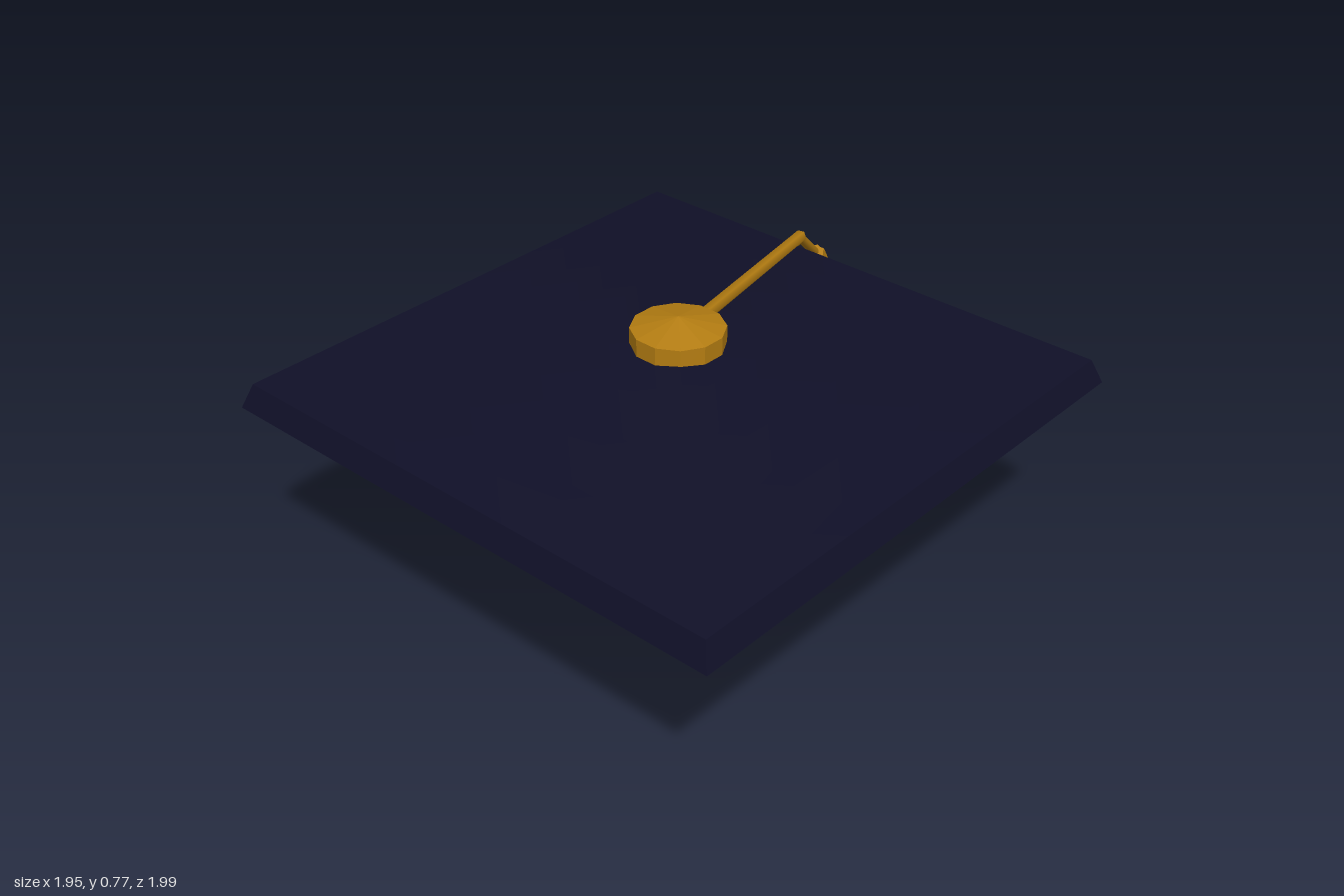
import * as THREE from 'three';

const flat = (geometry) => {
  const g = geometry.toNonIndexed();
  g.computeVertexNormals();
  return g;
};

// Apply a rule to every vertex of a geometry
function reshape(geometry, rule) {
  const p = geometry.attributes.position;
  const v = new THREE.Vector3();
  for (let i = 0; i < p.count; i++) {
    rule(v.fromBufferAttribute(p, i));
    p.setXYZ(i, v.x, v.y, v.z);
  }
  geometry.computeVertexNormals();
  return geometry;
}

// Place a y-aligned object so that it runs from a down to b
function span(object, a, b) {
  object.position.copy(a).add(b).multiplyScalar(0.5);
  object.quaternion.setFromUnitVectors(new THREE.Vector3(0, 1, 0), a.clone().sub(b).normalize());
  return object;
}

export function createModel() {
  const navy = new THREE.MeshStandardMaterial({ color: 0x101028 });
  navy.name = 'navyCloth';
  const gold = new THREE.MeshStandardMaterial({ color: 0xb47d12 });
  gold.name = 'goldThread';

  const model = new THREE.Group();
  model.name = 'graduationCap';
  const add = (name, geometry, material, parent = model) => {
    const mesh = new THREE.Mesh(geometry, material);
    mesh.name = name;
    parent.add(mesh);
    return mesh;
  };

  // Square board: bevelled rim with a shallow pyramid on top
  const board = new THREE.Group();
  board.name = 'board';
  board.position.set(-0.003, 0.57, 0.015);
  board.rotation.y = 0.013;
  model.add(board);
  add('boardRim', flat(new THREE.CylinderGeometry(0.945, 0.977, 0.06, 4)), navy, board).position.y = 0.03;
  add('boardTop', new THREE.ConeGeometry(0.945, 0.092, 4, 4, true), navy, board).position.y = 0.106;

  // Flared skull cap with its back edge drawn out to a point
  const cap = reshape(new THREE.CylinderGeometry(0.275, 0.345, 0.335, 12), (v) => {
    if (v.y < 0 && v.z < -0.34) {
      v.z = -0.41;
      v.y -= 0.025;
    }
  });
  add('skullCap', cap, navy).position.set(-0.015, 0.4125, 0);

  // Button with a slightly peaked top
  const button = new THREE.Group();
  button.name = 'button';
  button.position.set(0, 0, 0.02);
  model.add(button);
  add('buttonSide', flat(new THREE.CylinderGeometry(0.109, 0.109, 0.05, 12)), gold, button).position.y = 0.725;
  add('buttonTop', flat(new THREE.ConeGeometry(0.109, 0.026, 12, 1, true)), gold, button).position.y = 0.763;

  // Cord running over the edge of the board
  const path = [[0.04, 0.725, -0.04], [0.34, 0.632, -0.64], [0.392, 0.54, -0.735]]
    .map((p) => new THREE.Vector3(...p));
  for (let i = 0; i < 2; i++) {
    const length = path[i].distanceTo(path[i + 1]) + 0.008;
    const r = i ? 0.012 : 0.017;
    const cord = add(i ? 'cordEnd' : 'cord', new THREE.CylinderGeometry(r, r, length, 6), gold);
    span(cord, path[i], path[i + 1]);
  }

  // Tassel: pleated star section that widens to a ragged hem
  const top = path[2];
  const hem = new THREE.Vector3(0.478, 0.042, -0.912);
  const length = top.distanceTo(hem);
  const sides = 14;
  const tassel = reshape(new THREE.CylinderGeometry(1, 1, 1, sides, 3), (v) => {
    const t = 0.5 - v.y;
    const isCentre = Math.hypot(v.x, v.z) < 0.01;
    const k = (Math.round(Math.atan2(v.x, v.z) / (2 * Math.PI) * sides) + sides) % sides;
    const ridge = k % 2 === 0;
    const level = Math.round(t * 3);
    const radius = (ridge ? [0.027, 0.062, 0.075, 0.095] : [0.022, 0.042, 0.045, 0.045])[level];
    v.x *= radius;
    v.z *= radius;
    v.y *= length;
    if (level === 3) v.y += isCentre ? 0.05 : ridge ? 0.012 * Math.sin(k * 2.3) : 0.02;
  });
  span(add('tassel', flat(tassel), gold), top, hem);

  return model;
}
